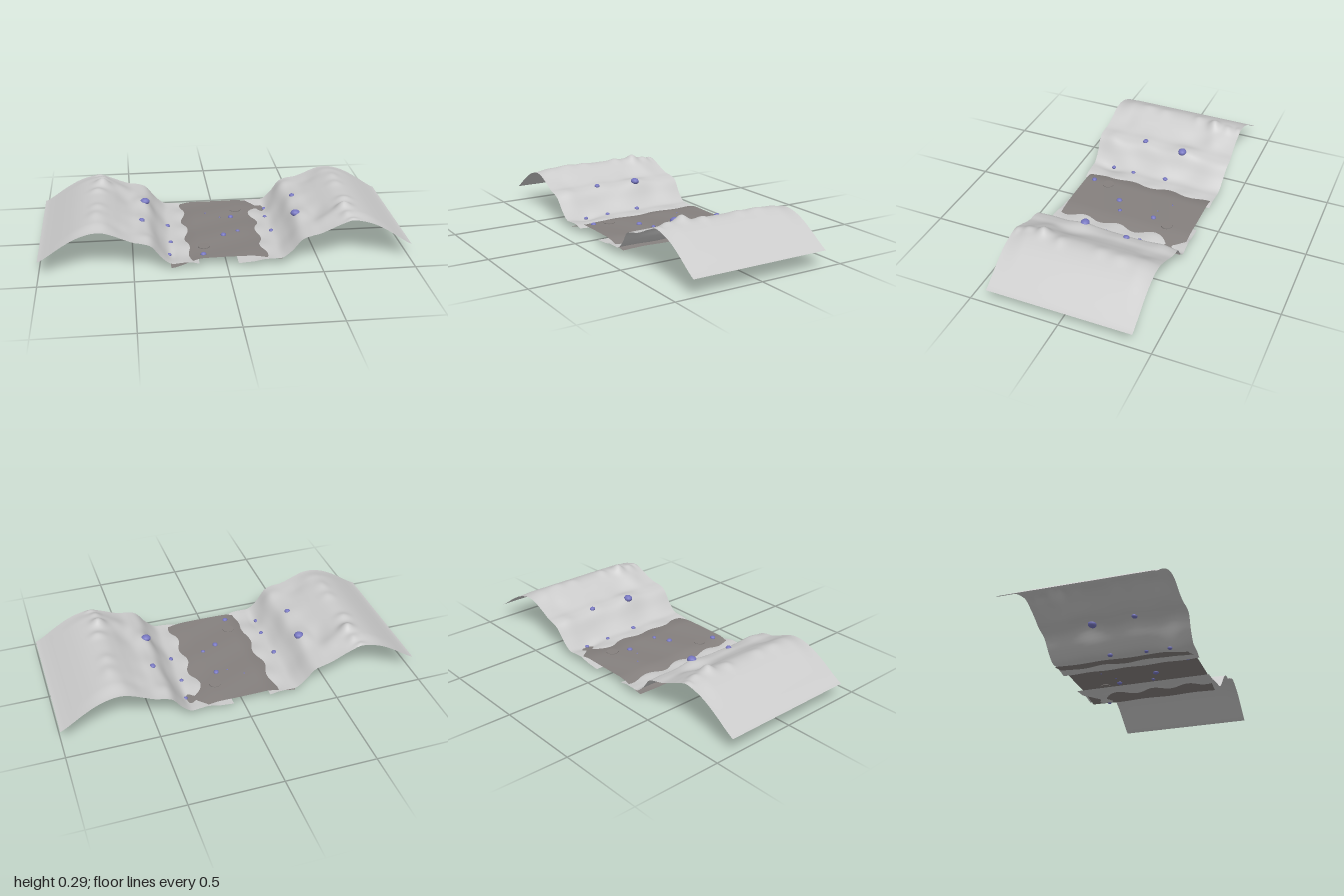
import * as THREE from 'three';

const { clamp, smoothstep } = THREE.MathUtils;

// Bank cross-section: heights every 0.05 from x = 0.05 to x = 1
const PROFILE = [0.02, 0.024, 0.028, 0.038, 0.041, 0.046, 0.088, 0.15, 0.171, 0.182,
  0.205, 0.232, 0.253, 0.256, 0.242, 0.218, 0.187, 0.153, 0.118, 0.09];

// Bumps and hollows: x, z, x radius, z radius, height
const BUMPS = [
  [0.65, 0.24, 0.04, 0.035, 0.034], [0.68, 0.13, 0.04, 0.03, 0.012],
  [0.65, 0.33, 0.03, 0.03, 0.012], [0.67, 0.385, 0.03, 0.015, 0.012],
  [0.69, -0.2, 0.04, 0.05, 0.01], [0.68, -0.09, 0.04, 0.04, 0.009],
  [0.42, 0.13, 0.06, 0.08, 0.02], [0.53, 0.15, 0.05, 0.08, -0.01],
  [0.55, 0.27, 0.06, 0.05, 0.012], [0.45, -0.1, 0.08, 0.07, 0.008],
  [0.57, -0.3, 0.06, 0.06, -0.01], [0.42, -0.32, 0.05, 0.05, 0.01],
  [0.3, -0.28, 0.05, 0.08, -0.02],
];

function profileAt(x) {
  const t = clamp((x - 0.05) / 0.05, 0, PROFILE.length - 1);
  const i = Math.min(Math.floor(t), PROFILE.length - 2);
  const f = t - i;
  const p = (k) => PROFILE[clamp(k, 0, PROFILE.length - 1)];
  const [a, b, c, d] = [p(i - 1), p(i), p(i + 1), p(i + 2)];
  return b + 0.5 * f * (c - a + f * (2 * a - 5 * b + 4 * c - d + f * (3 * (b - c) + d - a)));
}

const bell = (x, centre, radius) => Math.exp(-(((x - centre) / radius) ** 2));

// Height of the right bank; the left bank is the same turned half way round
function bankHeight(x, z) {
  let y = profileAt(x + 0.006 * bell(x, 0.34, 0.1) * Math.sin(z * 21 + 1));
  // scalloped foot beside the road, crest falling away at both ends
  y += 0.005 * bell(x, 0.2, 0.05) * Math.cos((z - 0.02) * 28.6);
  y -= 0.016 * bell(x, 0.68, 0.13) * smoothstep(Math.abs(z), 0.3, 0.4);
  for (const [bx, bz, rx, rz, h] of BUMPS) y += h * bell(x, bx, rx) * bell(z, bz, rz);
  return y;
}

// The end edges bulge out on the slope and draw in at the foot
const bankDepth = (x) => 1 + 0.025 * bell(x, 0.44, 0.07) - 0.02 * (1 - smoothstep(x, 0.15, 0.35));

function roadHeight(x, z) {
  const droop = smoothstep(Math.abs(x), 0.12, 0.31);
  const corner = x < 0 ? 0.012 * droop * smoothstep(z, 0.24, 0.37) : 0;
  return 0.05 - (x < 0 ? 0.036 : 0.024) * droop - corner + 0.002 * Math.sin(z * 21 + x * 9);
}

function groundHeight(x, z) {
  const bank = x > 0 ? bankHeight(x, z) : bankHeight(-x, -z);
  return Math.abs(x) < 0.22 ? Math.max(bank, roadHeight(x, z)) : bank;
}

// Grid patch whose vertices are lifted by a height rule
function patch(name, x0, x1, z0, z1, nx, nz, height, depth, material) {
  const geo = new THREE.PlaneGeometry(x1 - x0, z1 - z0, nx, nz);
  geo.rotateX(-Math.PI / 2);
  geo.translate((x0 + x1) / 2, 0, (z0 + z1) / 2);
  const pos = geo.attributes.position;
  for (let i = 0; i < pos.count; i++) {
    const x = pos.getX(i);
    const z = pos.getZ(i);
    pos.setXYZ(i, x, height(x, z), z * depth(x));
  }
  geo.computeVertexNormals();
  const mesh = new THREE.Mesh(geo, material);
  mesh.name = name;
  return mesh;
}

export function createModel() {
  const group = new THREE.Group();
  group.name = 'valleyRoad';
  const soil = new THREE.MeshStandardMaterial({ color: 0xcccccc, side: THREE.DoubleSide });
  const asphalt = new THREE.MeshStandardMaterial({ color: 0x85807e, side: THREE.DoubleSide });
  const stone = new THREE.MeshStandardMaterial({ color: 0x7676c0 });

  // Banks on both sides
  group.add(patch('leftBank', 0.06, 1, -0.4, 0.4, 94, 80, bankHeight, bankDepth, soil));
  const rightBank = patch('rightBank', 0.15, 1, -0.4, 0.4, 85, 80, bankHeight, bankDepth, soil);
  rightBank.rotation.y = Math.PI;
  group.add(rightBank);

  // Two road sections with drooping shoulders
  const straight = () => 1;
  group.add(patch('roadBack', -0.3, 0.3, -0.38, 0, 40, 24, roadHeight, straight, asphalt));
  group.add(patch('roadFront', -0.3, 0.3, 0, 0.37, 40, 24, roadHeight, straight, asphalt));

  // Round covers set in the road
  for (const [x, z] of [[0.118, -0.235], [-0.112, 0.225]]) {
    const cover = new THREE.Mesh(new THREE.CylinderGeometry(0.033, 0.033, 0.006, 32), asphalt);
    cover.position.set(x, roadHeight(x, z) + 0.0005, z);
    cover.name = 'roadCover';
    group.add(cover);
  }

  // Scattered stones: x, z, radius
  const stones = [
    [-0.417, -0.123, 0.027], [-0.294, -0.064, 0.015], [-0.444, 0.123, 0.017],
    [-0.289, 0.139, 0.013], [-0.305, 0.273, 0.013], [-0.123, 0.32, 0.016],
    [0.01, 0.1, 0.017], [0.096, 0.059, 0.012], [0.08, -0.139, 0.016],
    [0.283, -0.139, 0.012], [0.3, -0.278, 0.013], [0.438, -0.128, 0.017],
    [0.412, 0.123, 0.027], [0.289, 0.059, 0.014], [-0.064, -0.2, 0.005],
    [0.015, -0.139, 0.005], [-0.115, 0.24, 0.005],
  ];
  stones.forEach(([x, z, r], i) => {
    const mesh = new THREE.Mesh(new THREE.SphereGeometry(r, 14, 10), stone);
    mesh.scale.set(1, 0.7, 0.9);
    mesh.rotation.y = i * 1.3;
    mesh.position.set(x, groundHeight(x, z), z);
    mesh.name = 'stone';
    group.add(mesh);
  });

  return group;
}
